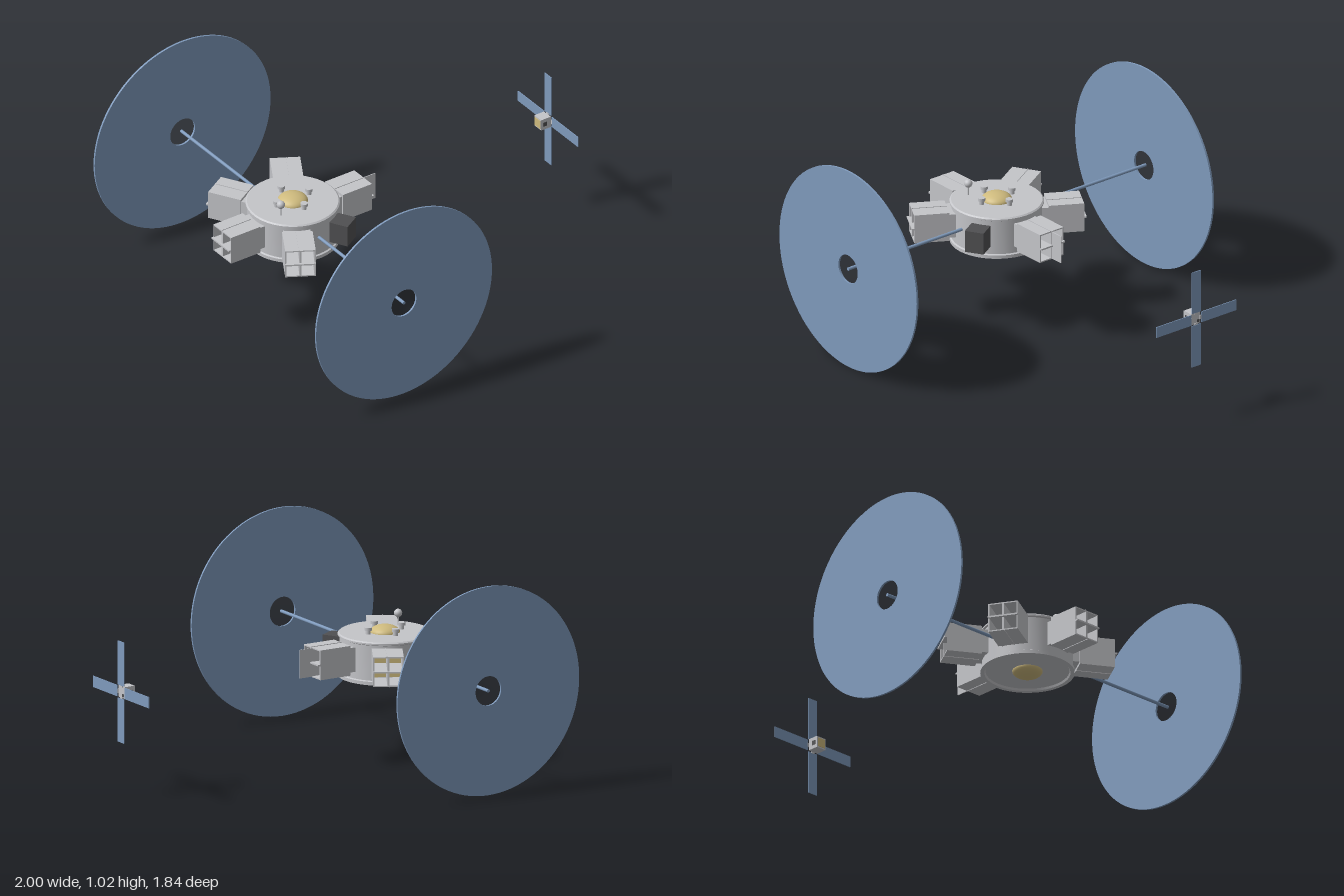
import * as THREE from 'three';
import { toCreasedNormals } from 'three/addons/utils/BufferGeometryUtils.js';

const mat = (name, color, side = THREE.FrontSide) => {
  const m = new THREE.MeshStandardMaterial({ color, side });
  m.name = name;
  return m;
};

export function createModel() {
  const grey = mat('hull grey', 0xc4c5c9);
  const blue = mat('panel blue', 0x7f9abc);
  const gold = mat('dome gold', 0xcfbb7e);
  const dark = mat('dark grey', 0x505052);

  const model = new THREE.Group();
  const add = (parent, name, geo, material, x = 0, y = 0, z = 0) => {
    const m = new THREE.Mesh(geo, material);
    m.name = name;
    m.position.set(x, y, z);
    parent.add(m);
    return m;
  };
  const box = (parent, name, material, w, h, d, x = 0, y = 0, z = 0) =>
    add(parent, name, new THREE.BoxGeometry(w, h, d), material, x, y, z);

  // Station, centred on its hub
  const station = new THREE.Group();
  station.name = 'station';
  station.position.set(-0.49, 0.515, 0);
  model.add(station);

  // Hub drum with rims and a shallow recess underneath
  const profile = [
    [0, -0.105], [0.2, -0.105], [0.205, -0.115], [0.225, -0.115], [0.225, -0.098], [0.217, -0.094],
    [0.217, 0.078], [0.225, 0.082], [0.225, 0.09], [0.218, 0.096], [0, 0.096],
  ].map(([r, y]) => new THREE.Vector2(r, y));
  add(station, 'hub', toCreasedNormals(new THREE.LatheGeometry(profile, 48), 0.5), grey);

  // Gold domes, above and below
  for (const s of [1, -1]) {
    const dome = new THREE.SphereGeometry(0.073, 32, 10, 0, Math.PI * 2, 0, Math.PI / 2);
    dome.scale(1, 0.5, 1);
    const m = add(station, s > 0 ? 'topDome' : 'bottomDome', dome, gold, 0, s > 0 ? 0.094 : -0.104, 0);
    if (s < 0) m.rotation.x = Math.PI;
  }

  // Capped posts around the top dome
  for (let i = 0; i < 4; i++) {
    const a = i * Math.PI / 2;
    const x = 0.094 * Math.cos(a), z = 0.094 * Math.sin(a);
    add(station, 'post', new THREE.CylinderGeometry(0.012, 0.012, 0.03, 16), grey, x, 0.105, z);
    add(station, 'postCap', new THREE.CylinderGeometry(0.018, 0.018, 0.015, 16), grey, x, 0.122, z);
  }

  // Ball antenna
  add(station, 'antennaMast', new THREE.CylinderGeometry(0.004, 0.004, 0.06, 8), grey, -0.122, 0.12, 0.075);
  add(station, 'antennaBall', new THREE.SphereGeometry(0.02, 20, 14), grey, -0.122, 0.155, 0.075);

  // Open four-cell bay modules, five of the six places round the hub
  const bay = (angle) => {
    const g = new THREE.Group();
    g.name = 'bayModule';
    g.rotation.y = angle;
    station.add(g);
    const half = 0.073, t = 0.006, mid = 0.325, len = 0.17;
    box(g, 'port', grey, 0.04, 0.12, 0.13, 0.223);
    box(g, 'backPlate', grey, t, 2 * half, 2 * half, 0.243);
    box(g, 'goldLining', gold, 0.004, 0.13, 0.13, 0.249);
    for (const s of [1, -1]) {
      box(g, 'bayDeck', grey, len, t, 2 * half, mid, s * (half - t / 2), 0);
      box(g, 'baySide', grey, len, 2 * half, t, mid, 0, s * (half - t / 2));
      box(g, 'seam', grey, len, 0.003, 0.004, mid, s * (half + 0.0015), s * 0.006);
    }
    box(g, 'upright', grey, len, 2 * half, 0.01, mid);
    box(g, 'shelf', grey, len + 0.012, 0.008, 2 * half, mid + 0.006);
    return g;
  };
  for (let i = 0; i < 5; i++) {
    const g = bay(i * Math.PI / 3);
    // Docking fin on the module facing the probe
    if (i === 0) box(g, 'dockingFin', grey, 0.075, 0.14, 0.004, 0.443);
  }

  // Dark equipment box in the sixth place
  const gear = new THREE.Group();
  gear.name = 'equipment';
  gear.rotation.y = -Math.PI / 3;
  station.add(gear);
  box(gear, 'equipmentBox', dark, 0.095, 0.11, 0.095, 0.262);

  // Long axle carrying the two ring panels
  const axle = add(station, 'axle', new THREE.CylinderGeometry(0.008, 0.008, 1.84, 16), blue);
  axle.rotation.x = Math.PI / 2;

  const ring = new THREE.Shape();
  ring.absarc(0, 0, 0.512, 0, Math.PI * 2, false);
  const hole = new THREE.Path();
  hole.absarc(0, 0, 0.072, 0, Math.PI * 2, true);
  ring.holes.push(hole);
  const disc = new THREE.ExtrudeGeometry(ring, { depth: 0.01, bevelEnabled: false, curveSegments: 48 });
  disc.translate(0, 0, -0.005);
  for (const s of [1, -1]) add(station, 'ringPanel', disc, blue, 0, 0, s * 0.914);

  // Free-flying probe with four panel arms
  const probe = new THREE.Group();
  probe.name = 'probe';
  probe.position.set(0.965, 0.515, 0);
  model.add(probe);
  box(probe, 'probeBody', grey, 0.056, 0.058, 0.056);
  box(probe, 'probeGoldFace', gold, 0.004, 0.044, 0.044, -0.029);
  box(probe, 'probeSensor', dark, 0.004, 0.014, 0.014, 0.028, -0.015, -0.014);
  for (const s of [1, -1]) box(probe, 'probeHatch', dark, 0.022, 0.022, 0.004, -0.006, 0, s * 0.028);
  for (let i = 0; i < 4; i++) {
    const arm = new THREE.Group();
    arm.name = 'probeArm';
    arm.rotation.x = i * Math.PI / 2;
    probe.add(arm);
    box(arm, 'probePanel', blue, 0.004, 0.216, 0.055, 0.032, 0.14, 0);
    box(arm, 'panelRoot', grey, 0.004, 0.012, 0.02, 0.03, 0.03, 0);
  }

  return model;
}
